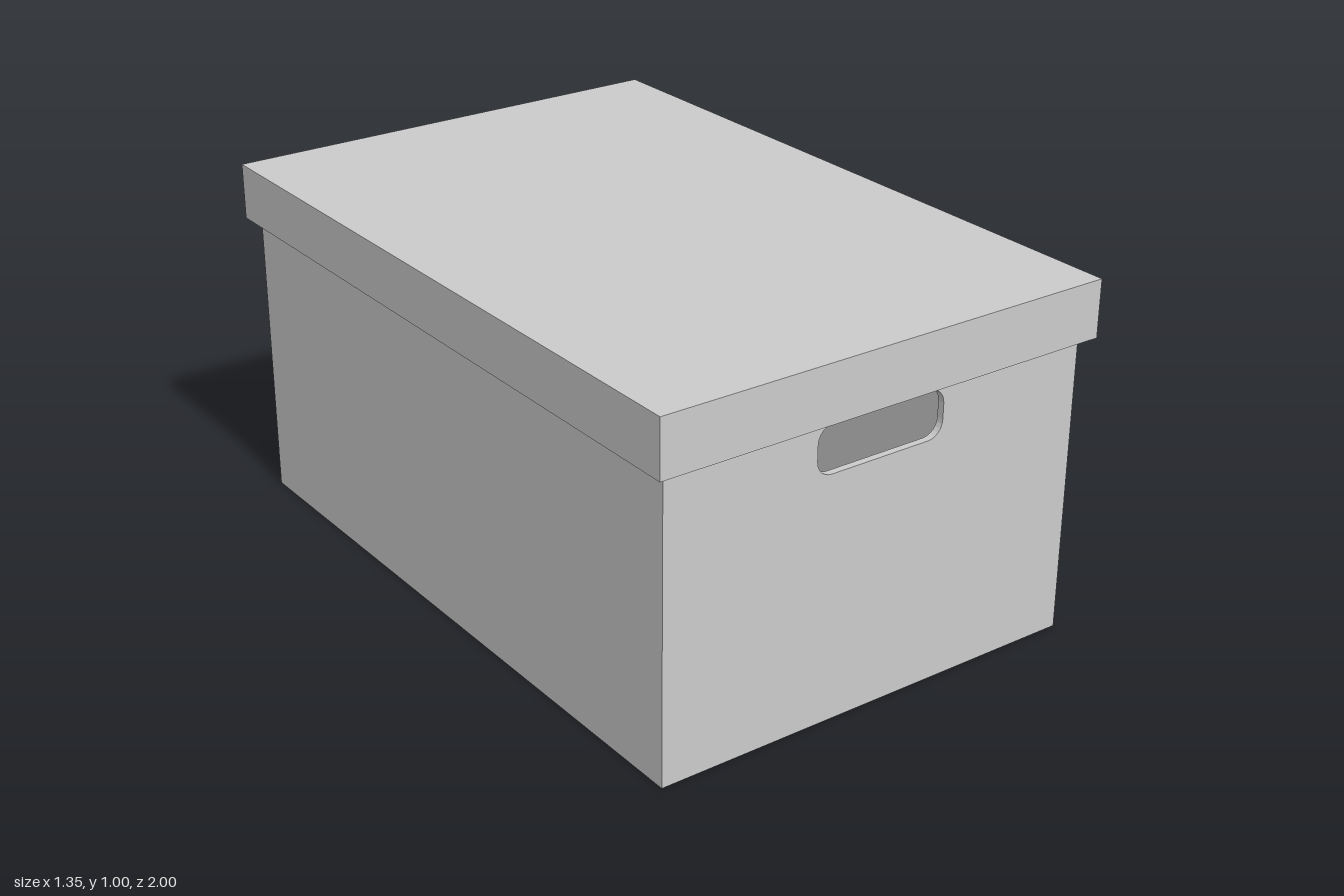
import * as THREE from 'three';

const material = new THREE.MeshStandardMaterial({ color: 0xcccccc });

// Rounded slot outline used for the hand holes
function slot(halfWidth, y0, y1, r) {
  const p = new THREE.Path();
  p.moveTo(-halfWidth + r, y0);
  p.lineTo(halfWidth - r, y0);
  p.absarc(halfWidth - r, y0 + r, r, -Math.PI / 2, 0);
  p.absarc(halfWidth - r, y1 - r, r, 0, Math.PI / 2);
  p.absarc(-halfWidth + r, y1 - r, r, Math.PI / 2, Math.PI);
  p.absarc(-halfWidth + r, y0 + r, r, Math.PI, Math.PI * 1.5);
  return p;
}

// Board with its outer face at z = 0; the inner face is drawn in to mitre the joints
function panel(w, h, t, hole, mitreTop) {
  const shape = new THREE.Shape();
  shape.moveTo(-w / 2, 0).lineTo(w / 2, 0).lineTo(w / 2, h).lineTo(-w / 2, h).closePath();
  if (hole) shape.holes.push(hole);
  const geo = new THREE.ExtrudeGeometry(shape, { depth: t, bevelEnabled: false, curveSegments: 3 });
  geo.translate(0, 0, -t);
  const pos = geo.attributes.position;
  for (let i = 0; i < pos.count; i++) {
    if (pos.getZ(i) > -t / 2) continue;
    const x = pos.getX(i), y = pos.getY(i);
    if (Math.abs(x) > w / 2 - 1e-4) pos.setX(i, x - Math.sign(x) * t);
    if (y < 1e-4) pos.setY(i, t);
    if (mitreTop && y > h - 1e-4) pos.setY(i, h - t);
  }
  geo.computeVertexNormals();
  return geo;
}

// Open-topped box made from a floor and four mitred walls
function openBox(name, w, h, d, t, makeHole) {
  const group = new THREE.Group();
  group.name = name;
  const add = (part, geo) => {
    const mesh = new THREE.Mesh(geo, material);
    mesh.name = name + part;
    group.add(mesh);
  };
  add('Panel', panel(w, d, t, null, true).rotateX(Math.PI / 2).translate(0, 0, -d / 2));
  for (const s of [1, -1]) {
    add(s > 0 ? 'FrontWall' : 'BackWall',
      panel(w, h, t, makeHole && makeHole(), false).translate(0, 0, d / 2).rotateY(s > 0 ? 0 : Math.PI));
    add(s > 0 ? 'LeftWall' : 'RightWall',
      panel(d, h, t, null, false).translate(0, 0, w / 2).rotateY(s * Math.PI / 2));
  }
  return group;
}

export function createModel() {
  const model = new THREE.Group();
  model.name = 'storageBox';

  // Body with a hand hole at each end
  model.add(openBox('body', 1.286, 0.975, 1.934, 0.02, () => slot(0.196, 0.69, 0.824, 0.045)));

  // Lid: a shallow open box turned upside down
  const lid = openBox('lid', 1.35, 0.16, 2, 0.02, null);
  lid.rotation.z = Math.PI;
  lid.position.y = 1;
  model.add(lid);

  return model;
}
